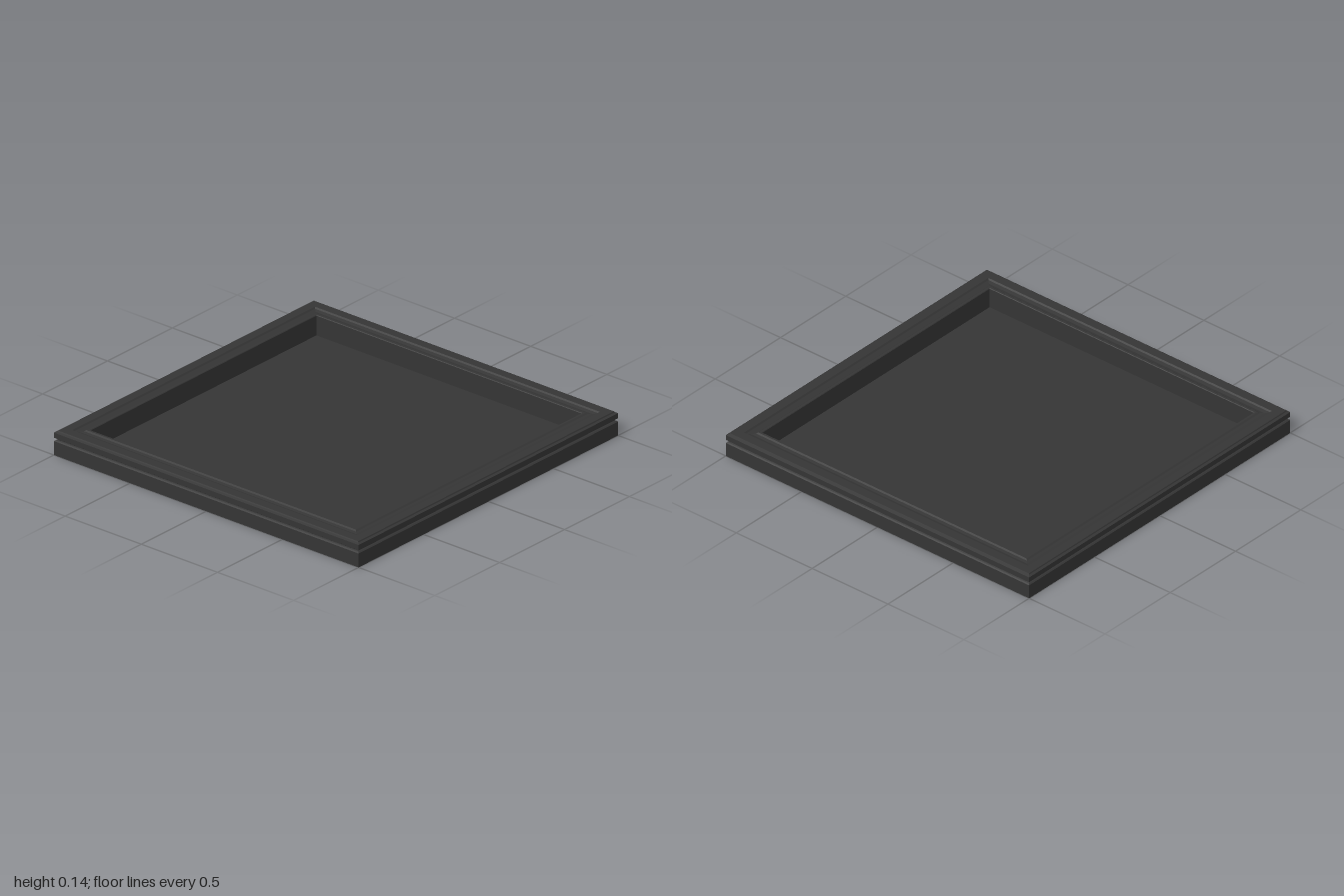
import * as THREE from 'three';

const material = new THREE.MeshStandardMaterial({ color: 0x353535, flatShading: true });

// Sweeps a [half-width, height] profile around a square with mitred corners
function squareSweep(profile) {
  const points = profile.map(([r, y]) => new THREE.Vector2(r * Math.SQRT2, y));
  const geometry = new THREE.LatheGeometry(points, 4, Math.PI / 4).toNonIndexed();
  geometry.computeVertexNormals();
  return geometry;
}

export function createModel() {
  const group = new THREE.Group();
  const add = (name, geometry) => {
    const mesh = new THREE.Mesh(geometry, material);
    mesh.name = name;
    group.add(mesh);
    return mesh;
  };

  // Moulded border: side groove, bevelled top edge, shallow cove and inner lip
  add('frame', squareSweep([
    [0.87, 0], [1, 0], [1, 0.077],
    [0.994, 0.082], [0.988, 0.085], [0.988, 0.09], [0.994, 0.092],
    [1, 0.096], [1, 0.124], [0.988, 0.129], [0.985, 0.135],
    [0.935, 0.135], [0.928, 0.128], [0.91, 0.123], [0.893, 0.126],
    [0.885, 0.132], [0.873, 0.132], [0.87, 0.129], [0.87, 0],
  ]));

  // Recessed floor inside the border
  const panel = add('panel', new THREE.BoxGeometry(1.74, 0.02, 1.74));
  panel.position.y = 0.01;

  return group;
}
